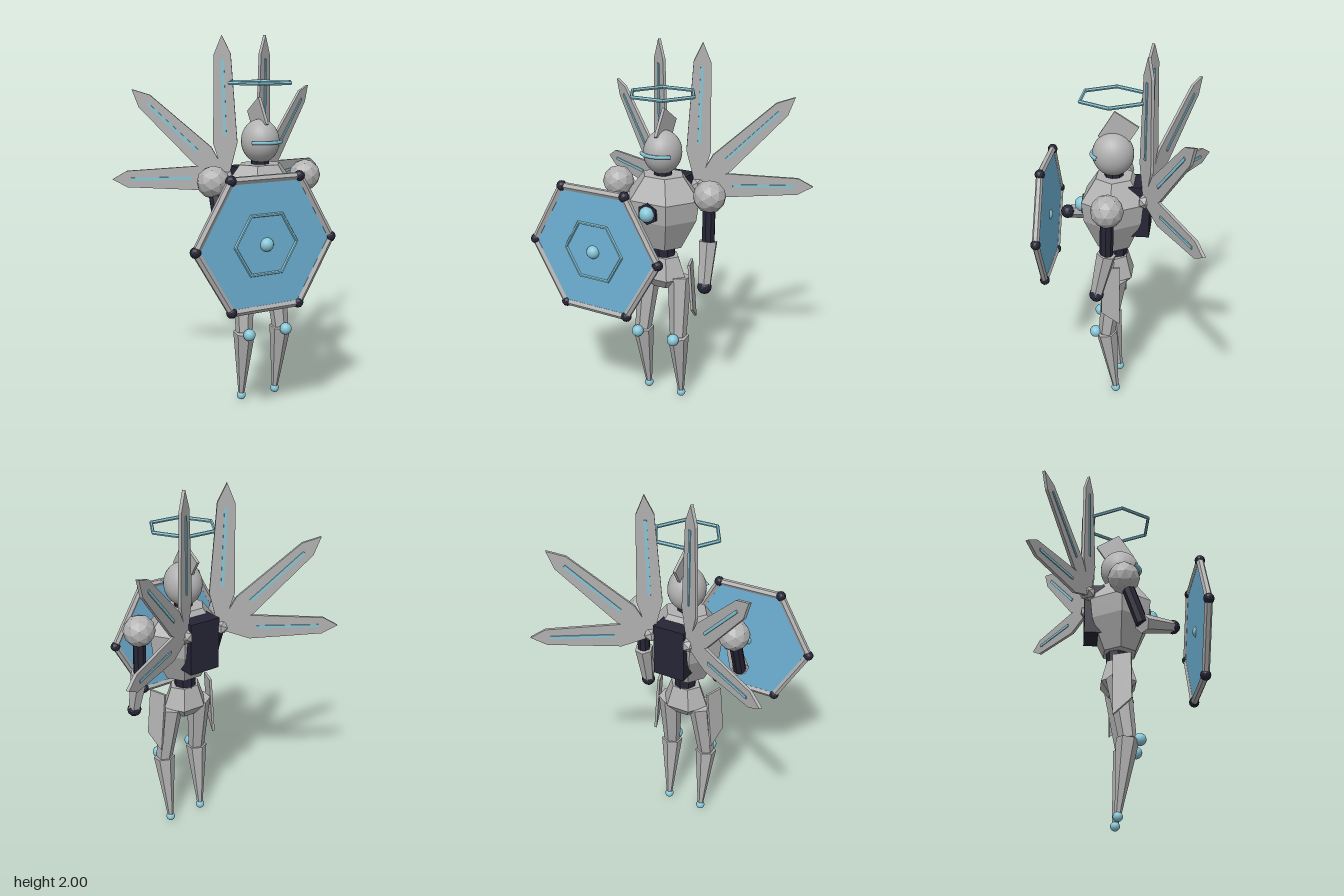
import * as THREE from 'three';

const V = (x, y, z) => new THREE.Vector3(x, y, z);
const UP = V(0, 1, 0);

// Gives every face its own normal
function flat(geometry) {
  const g = geometry.index ? geometry.toNonIndexed() : geometry;
  g.computeVertexNormals();
  return g;
}

export function createModel() {
  const mat = (name, color) => {
    const m = new THREE.MeshStandardMaterial({ color });
    m.name = name;
    return m;
  };
  const metal = mat('grey metal', 0xb2b2b2);
  const dark = mat('dark joints', 0x262536);
  const glow = mat('pale teal', 0x88c6d6);
  const glass = mat('shield blue', 0x6fb3d6);

  const model = new THREE.Group();
  model.name = 'wingedGuardian';

  function add(name, geometry, material, pos = V(0, 0, 0), parent = model) {
    const m = new THREE.Mesh(geometry, material);
    m.name = name;
    m.position.copy(pos);
    parent.add(m);
    return m;
  }
  // Tapered prism from a to b
  function limb(name, a, b, ra, rb, sides, material, parent = model) {
    const g = flat(new THREE.CylinderGeometry(rb, ra, a.distanceTo(b), sides));
    const m = add(name, g, material, a.clone().lerp(b, 0.5), parent);
    m.quaternion.setFromUnitVectors(UP, b.clone().sub(a).normalize());
    return m;
  }
  const ball = (name, r, material, pos, parent) =>
    add(name, new THREE.SphereGeometry(r, 16, 12), material, pos, parent);
  const gem = (name, r, material, pos, parent, detail = 1) =>
    add(name, flat(new THREE.IcosahedronGeometry(r, detail)), material, pos, parent);
  // Six-sided body section with corners on the x axis
  function hexBody(name, profile, zScale, z) {
    const pts = profile.map(([r, y]) => new THREE.Vector2(r, y));
    const g = new THREE.LatheGeometry(pts, 6, Math.PI / 2);
    g.scale(1, 1, zScale);
    return add(name, flat(g), metal, V(0, 0, z));
  }
  function plate(points, depth) {
    const shape = new THREE.Shape(points.map(([x, y]) => new THREE.Vector2(x, y)));
    const g = new THREE.ExtrudeGeometry(shape, { depth, bevelEnabled: false });
    g.translate(0, 0, -depth / 2);
    return g;
  }

  // Head, visor, crest and halo
  const head = ball('head', 1, metal, V(0, 1.45, 0.033));
  head.geometry = new THREE.SphereGeometry(1, 28, 20);
  head.scale.set(0.1, 0.116, 0.11);
  const visor = new THREE.TorusGeometry(0.112, 0.01, 6, 16, 1.75);
  visor.rotateZ(Math.PI / 2 - 0.875);
  visor.rotateX(Math.PI / 2);
  add('visor', visor, glow, V(0, 1.45, 0.035));
  const crest = add('crest', new THREE.BoxGeometry(0.016, 0.16, 0.15), metal, V(0, 1.573, 0.005));
  crest.rotation.x = -0.62;
  crest.rotation.x = -Math.atan2(0.08, 0.126);
  const halo = new THREE.TorusGeometry(0.18, 0.01, 6, 6);
  halo.rotateX(Math.PI / 2);
  add('halo', flat(halo), glow, V(0, 1.755, 0.033));

  // Trunk
  limb('neck', V(0, 1.3, 0.03), V(0, 1.38, 0.03), 0.05, 0.05, 8, dark);
  hexBody('torso', [[0, 0.93], [0.11, 0.93], [0.2, 1.1], [0.215, 1.21], [0.12, 1.33], [0, 1.33]], 0.88, 0.027);
  limb('waist', V(0, 0.84, 0.015), V(0, 0.95, 0.015), 0.06, 0.06, 8, dark);
  hexBody('pelvis', [[0, 0.69], [0.07, 0.69], [0.135, 0.75], [0.09, 0.87], [0, 0.87]], 0.8, 0.02);
  limb('chestSocket', V(0, 1.155, 0.15), V(0, 1.155, 0.197), 0.06, 0.06, 6, dark);
  ball('chestCore', 0.042, glow, V(0, 1.155, 0.2));
  add('backpack', new THREE.BoxGeometry(0.18, 0.285, 0.11), dark, V(0, 1.16, -0.112));

  // Arms
  function arm(side, elbow, hand) {
    const g = new THREE.Group();
    g.name = side + 'Arm';
    model.add(g);
    const s = side === 'left' ? 1 : -1;
    const shoulder = V(s * 0.277, 1.25, 0.033);
    gem('shoulder', 0.086, metal, shoulder, g);
    limb('upperArm', shoulder, elbow, 0.035, 0.035, 8, dark, g);
    limb('forearm', elbow, hand, 0.052, 0.034, 6, metal, g);
    gem('hand', 0.039, dark, hand, g);
  }
  arm('left', V(0.277, 1.005, 0.037), V(0.286, 0.765, 0.09));
  arm('right', V(-0.277, 0.985, 0.125), V(-0.132, 1.04, 0.305));

  // Legs, hip plates and wings
  const hipPlate = plate([[0, 0], [0, -0.34], [0.1, -0.26], [0.1, 0]].map(([u, v]) => [u - 0.04, v]), 0.014);
  hipPlate.rotateY(-Math.PI / 2);

  function feather(length, angle, wing) {
    const half = [[0, 0.012], [0.25, 0.066], [0.87, 0.045]];
    const outline = [
      ...half.map(([t, w]) => [t * length, -w]),
      [length, 0],
      ...half.slice().reverse().map(([t, w]) => [t * length, w]),
    ];
    const f = new THREE.Group();
    f.name = 'feather';
    f.rotation.z = angle;
    wing.add(f);
    add('featherBlade', plate(outline, 0.016), metal, V(0, 0, 0), f);
    add('featherStripe', new THREE.BoxGeometry(length * 0.53, 0.016, 0.026), glow, V(length * 0.57, 0, 0), f);
  }

  for (const s of [1, -1]) {
    const side = s > 0 ? 'left' : 'right';
    const leg = new THREE.Group();
    leg.name = side + 'Leg';
    model.add(leg);
    const knee = V(s * 0.113, 0.415, 0.06);
    const foot = V(s * 0.107, 0.03, 0.01);
    limb('thigh', knee, V(s * 0.095, 0.755, 0.015), 0.046, 0.066, 6, metal, leg);
    limb('shin', foot, knee, 0.016, 0.06, 6, metal, leg);
    ball('kneeCap', 0.033, glow, V(s * 0.113, 0.415, 0.122), leg);
    ball('foot', 0.025, glow, V(s * 0.107, 0.025, 0.01), leg);

    const hip = add('hipPlate', hipPlate, metal, V(s * 0.165, 0.86, 0.02));
    hip.rotation.set(0, s * 0.33, s * 0.08, 'ZYX');

    const wing = new THREE.Group();
    wing.name = side + 'Wing';
    wing.position.set(s * 0.112, 1.238, -0.148);
    wing.rotation.y = s > 0 ? Math.PI / 6 : Math.PI * 5 / 6;
    model.add(wing);
    gem('wingHub', 0.042, metal, V(0, 0, 0), wing, 0);
    feather(0.762, 1.545, wing);
    feather(0.695, 0.755, wing);
    feather(0.628, -0.02, wing);
  }

  // Hexagonal shield
  const shield = new THREE.Group();
  shield.name = 'shield';
  shield.position.set(-0.18, 0.992, 0.425);
  model.add(shield);
  const R = 0.375;
  const corner = (i) => V(R * Math.cos(i * Math.PI / 3), R * Math.sin(i * Math.PI / 3), 0);
  const corners = [0, 1, 2, 3, 4, 5].map(corner);
  add('shieldPanel', plate(corners.map((c) => [c.x, c.y]), 0.018), glass, V(0, 0, 0), shield);
  corners.forEach((c, i) => {
    limb('shieldRim', c, corners[(i + 1) % 6], 0.02, 0.02, 6, metal, shield);
    gem('shieldCorner', 0.028, dark, c, shield);
  });
  add('shieldRing', flat(new THREE.TorusGeometry(0.17, 0.009, 6, 6)), glow, V(0, 0, 0.009), shield);
  ball('shieldBoss', 0.035, glow, V(0, 0, 0.01), shield);

  return model;
}
